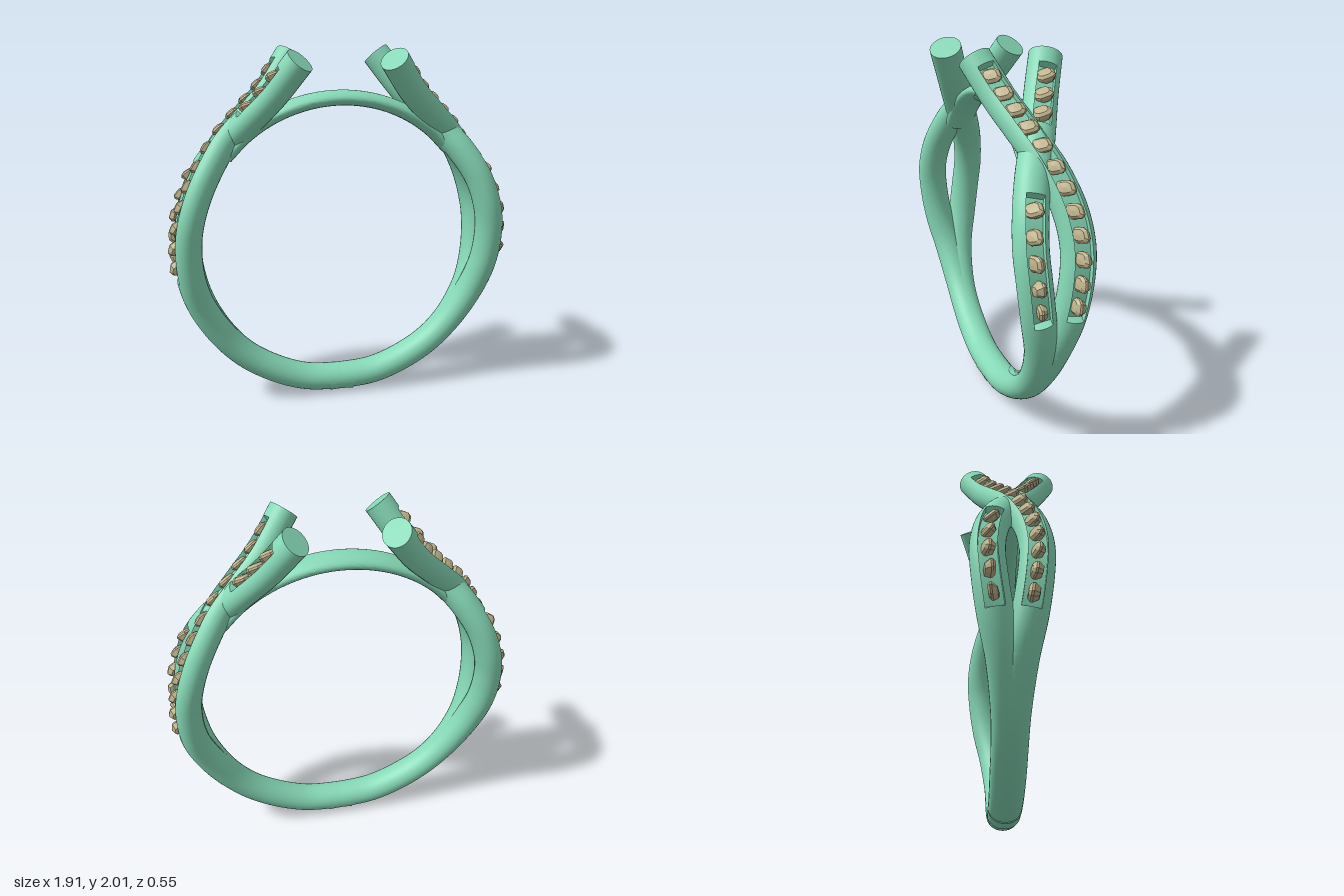
import * as THREE from 'three';
import { toCreasedNormals } from 'three/addons/utils/BufferGeometryUtils.js';

const metal = new THREE.MeshStandardMaterial({ color: 0x86d9b7 });
const stone = new THREE.MeshStandardMaterial({ color: 0xc0b48c, flatShading: true });
const CENTER_Y = 0.93;

// Curve through points given as [degrees from the bottom, radius, z]
function ringCurve(points) {
  return new THREE.CatmullRomCurve3(points.map(([deg, r, z]) => {
    const a = THREE.MathUtils.degToRad(deg);
    return new THREE.Vector3(r * Math.sin(a), CENTER_Y - r * Math.cos(a), z);
  }));
}

// Point, tangent, outward normal and sideways axis at u
function frameAt(curve, u) {
  const p = curve.getPointAt(u), t = curve.getTangentAt(u);
  const n = new THREE.Vector3(t.y, -t.x, 0).normalize();
  return { p, t, n, b: new THREE.Vector3().crossVectors(t, n) };
}

// Section angles: round back, then the strip that can sink into a channel
const EDGE = 0.56, angles = [];
for (let i = 0; i <= 26; i++) angles.push(EDGE + (2 * Math.PI - 2 * EDGE) * i / 26);
const ROUND = angles.length;
for (let i = 0; i <= 6; i++) angles.push((EDGE - 0.015) * (i / 3 - 1));

// Elliptical sweep, closed at both ends, with optional channels [u0, u1]
function sweep(curve, thick, wide, rows, channels = []) {
  const pos = [], index = [], m = angles.length;
  const add = (v) => pos.push(v.x, v.y, v.z);
  for (let i = 0; i <= rows; i++) {
    const u = i / rows, { p, n, b } = frameAt(curve, u);
    const cut = channels.some(([u0, u1]) => u > u0 && u < u1);
    angles.forEach((a, j) => {
      let h = thick * Math.cos(a);
      if (cut && j >= ROUND) h = Math.min(h, 0.038);
      add(p.clone().addScaledVector(n, h).addScaledVector(b, wide * Math.sin(a)));
    });
  }
  for (let i = 0; i < rows; i++) {
    for (let j = 0; j < m; j++) {
      const k = (j + 1) % m, a = i * m + j, b = i * m + k;
      index.push(a, b, b + m, a, b + m, a + m);
    }
  }
  const first = (rows + 1) * m, last = rows * m;
  add(curve.getPointAt(0));
  add(curve.getPointAt(1));
  for (let j = 0; j < m; j++) {
    const k = (j + 1) % m;
    index.push(first, k, j, first + 1, last + j, last + k);
  }
  const geo = new THREE.BufferGeometry();
  geo.setAttribute('position', new THREE.Float32BufferAttribute(pos, 3));
  geo.setIndex(index);
  return toCreasedNormals(geo, 0.6);
}

// Faceted cushion-cut stone, y is its outward axis
function stoneGeometry() {
  const profile = [[0, -0.035], [0.028, -0.03], [0.045, 0], [0.044, 0.012], [0.031, 0.026], [0, 0.03]];
  const geo = new THREE.LatheGeometry(profile.map(([x, y]) => new THREE.Vector2(x, y)), 12);
  const p = geo.attributes.position;
  for (let i = 0; i < p.count; i++) {
    const x = p.getX(i), z = p.getZ(i), r = Math.hypot(x, z);
    if (r < 1e-6) continue;
    const k = r / Math.pow(x ** 4 + z ** 4, 0.25);
    p.setX(i, x * k);
    p.setZ(i, z * k * 1.14);
  }
  return geo;
}

// First u where the strand reaches height y
function uAtHeight(curve, y) {
  for (let u = 0.1; u < 1; u += 0.002) if (curve.getPointAt(u).y >= y) return u;
  return 1;
}

// One strand with rows of stones, each row given as [low y, high y, count]
function makeStrand(name, points, stoneRows, gem) {
  const group = new THREE.Group();
  group.name = name;
  const curve = ringCurve(points), channels = [];
  for (const [y0, y1, count] of stoneRows) {
    const u0 = uAtHeight(curve, y0), u1 = uAtHeight(curve, y1);
    const step = (u1 - u0) / (count - 1);
    channels.push([u0 - step * 0.55, u1 + step * 0.55]);
    for (let i = 0; i < count; i++) {
      const { p, t, n, b } = frameAt(curve, u0 + step * i);
      const mesh = new THREE.Mesh(gem, stone);
      mesh.name = 'stone';
      mesh.quaternion.setFromRotationMatrix(new THREE.Matrix4().makeBasis(b.negate(), n, t.negate()));
      // keep a right-handed basis: (-b) x n = -t
      mesh.position.copy(p).addScaledVector(n, 0.054);
      group.add(mesh);
    }
  }
  const band = new THREE.Mesh(sweep(curve, 0.077, 0.088, 220, channels), metal);
  band.name = name + 'Band';
  group.add(band);
  return group;
}

export function createModel() {
  const model = new THREE.Group();
  model.name = 'ring';
  const gem = stoneGeometry();

  // Shared lower part: side is the sign of z where the strands part
  const lower = (side) => [
    [-5, 0.852, 0], [15, 0.852, 0], [35, 0.852, 0], [50, 0.852, 0.006], [67, 0.852, 0.036],
    [81, 0.853, 0.08], [95, 0.855, 0.11], [105, 0.856, 0.119], [116, 0.857, 0.1],
  ].map(([a, r, z]) => [a, r, z * side]);
  const over = [...lower(-1), [127, 0.863, -0.055], [134, 0.872, -0.015], [145.6, 0.887, 0.05],
    [155.9, 0.933, 0.11], [166.6, 1.059, 0.19]];
  const under = [...lower(1), [127, 0.853, 0.055], [134, 0.853, 0.015], [145.6, 0.873, -0.05],
    [155.9, 0.928, -0.11], [166.6, 1.059, -0.19]];

  // Each shoulder is the other turned half way round
  for (const [name, turn] of [['leftShoulder', 0], ['rightShoulder', Math.PI]]) {
    const shoulder = new THREE.Group();
    shoulder.name = name;
    shoulder.add(makeStrand('overStrand', over, [[0.87, 1.85, 12]], gem));
    shoulder.add(makeStrand('underStrand', under, [[0.87, 1.31, 5], [1.68, 1.84, 3]], gem));
    shoulder.rotation.y = turn;
    model.add(shoulder);
  }

  // Thin bridge closing the finger hole at the top
  const arc = [];
  for (let a = 130; a <= 230; a += 10) arc.push([a, 0.815, 0]);
  const bridge = new THREE.Mesh(sweep(ringCurve(arc), 0.041, 0.088, 60), metal);
  bridge.name = 'bridge';
  model.add(bridge);
  return model;
}
